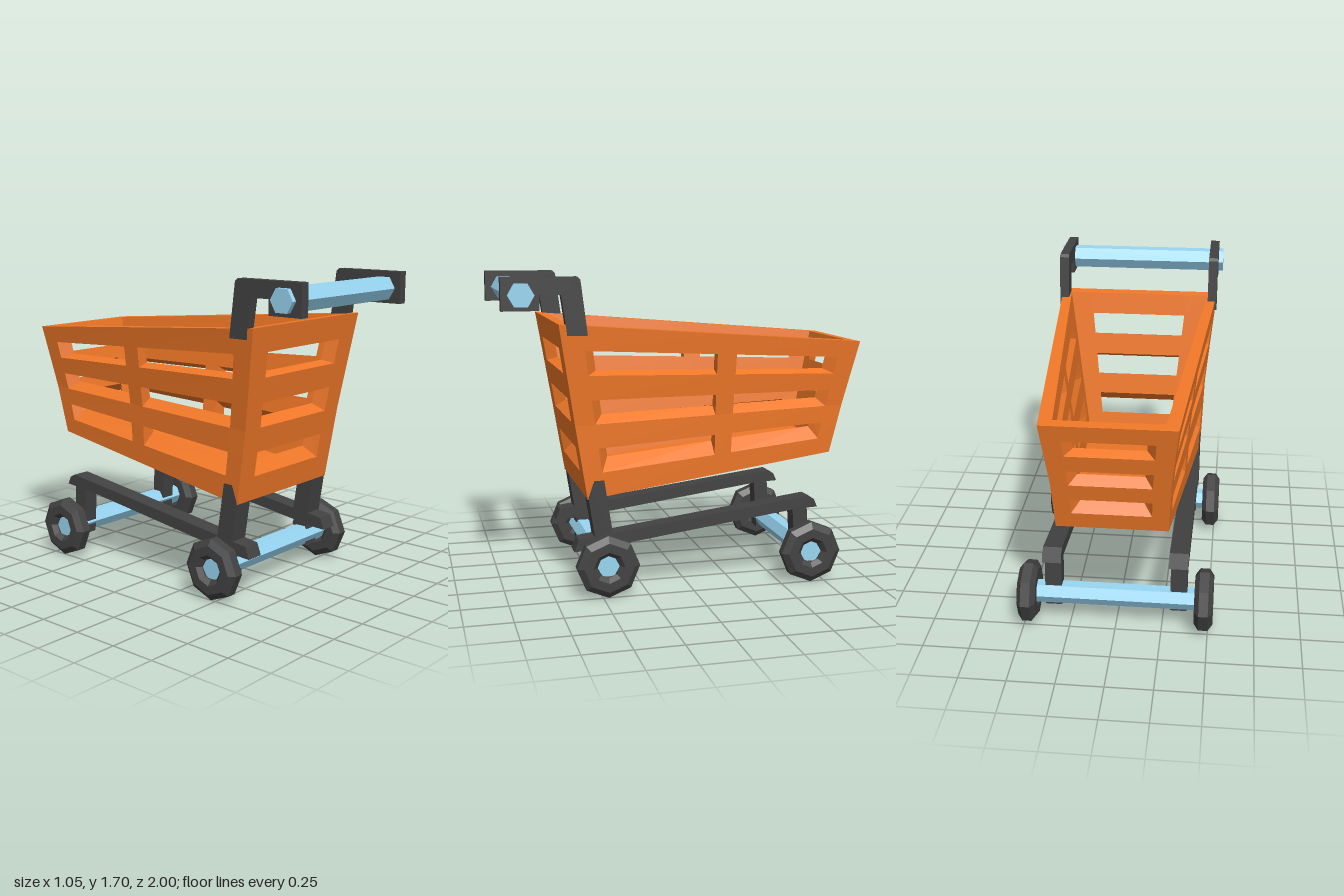
import * as THREE from 'three';

const mat = (color) => new THREE.MeshStandardMaterial({ color, flatShading: true });
const V = (x, y, z) => new THREE.Vector3(x, y, z);

// Corners of the basket, counter-clockwise from above, starting at front -x
const ring = (xf, xb, yf, yb, zf, zb) => [V(-xf, yf, zf), V(xf, yf, zf), V(xb, yb, zb), V(-xb, yb, zb)];
const OUT_BOTTOM = ring(0.397, 0.29, 0.52, 0.69, 0.56, -0.85);
const OUT_TOP = ring(0.468, 0.34, 1.46, 1.32, 0.71, -1.0);
const IN_BOTTOM = ring(0.29, 0.22, 0.6, 0.76, 0.51, -0.81);
const IN_TOP = ring(0.41, 0.275, 1.455, 1.325, 0.65, -0.94);

function buildBasket() {
  const pos = [];
  const quad = (a, b, c, d) => [a, b, c, a, c, d].forEach((p) => pos.push(p.x, p.y, p.z));

  // Point on a wall: u along it, v up it; outer walls pinch in slightly at mid height
  const wallPoint = (bottom, top, i, bow) => (u, v) => {
    const j = (i + 1) % 4;
    const p = bottom[i].clone().lerp(top[i], v).lerp(bottom[j].clone().lerp(top[j], v), u);
    p.x *= 1 - bow * Math.min(v / 0.43, (1 - v) / 0.57);
    return p;
  };

  const vs = [0, 1, 2, 3, 4, 5, 6, 7].map((k) => k / 7);
  const ends = [0, 0.15, 0.85, 1];
  const side = [0, 0.07, 0.507, 0.573, 0.935, 1];
  const columns = [ends, side, ends, side.map((u) => 1 - u).reverse()];

  columns.forEach((us, i) => {
    const O = wallPoint(OUT_BOTTOM, OUT_TOP, i, 0.035);
    const I = wallPoint(IN_BOTTOM, IN_TOP, i, 0);
    for (let c = 0; c < us.length - 1; c++) {
      for (let r = 0; r < 7; r++) {
        const corners = [[us[c], vs[r]], [us[c + 1], vs[r]], [us[c + 1], vs[r + 1]], [us[c], vs[r + 1]]];
        const o = corners.map(([u, v]) => O(u, v));
        const n = corners.map(([u, v]) => I(u, v));
        if (c % 2 === 1 && r % 2 === 1) {
          // slot: four faces through the wall
          for (let k = 0; k < 4; k++) {
            const m = (k + 1) % 4;
            quad(o[k], o[m], n[m], n[k]);
          }
        } else {
          quad(o[0], o[1], o[2], o[3]);
          quad(n[1], n[0], n[3], n[2]);
        }
      }
    }
    // rim
    quad(O(0, 1), O(1, 1), I(1, 1), I(0, 1));
  });

  // floor, inside and underside
  quad(...IN_BOTTOM);
  quad(...[...OUT_BOTTOM].reverse());

  const g = new THREE.BufferGeometry();
  g.setAttribute('position', new THREE.Float32BufferAttribute(pos, 3));
  g.computeVertexNormals();
  return g;
}

// Side profile of [z, y] points, given thickness from x0 to x1
function plate(points, x0, x1) {
  const shape = new THREE.Shape(points.map(([z, y]) => new THREE.Vector2(z, y)));
  const g = new THREE.ExtrudeGeometry(shape, { depth: x1 - x0, bevelEnabled: false });
  return g.rotateY(-Math.PI / 2).translate(x1, 0, 0);
}

// Six-sided bar along x with points facing front and back
function hexBar(radius, length) {
  return new THREE.CylinderGeometry(radius, radius, length, 6).rotateZ(Math.PI / 2);
}

export function createModel() {
  const model = new THREE.Group();
  const orange = mat(0xf07828);
  const dark = mat(0x424242);
  const blue = mat(0x99d6f2);
  const add = (name, geometry, material, x = 0, y = 0, z = 0) => {
    const mesh = new THREE.Mesh(geometry, material);
    mesh.name = name;
    mesh.position.set(x, y, z);
    model.add(mesh);
  };

  add('basket', buildBasket(), orange);
  add('handleBar', hexBar(0.068, 0.99), blue, 0, 1.61, 0.9);

  // Frame parts, one per side
  const arm = [[1, 1.53], [1, 1.7], [0.61, 1.7], [0.595, 1.685], [0.56, 1.4], [0.665, 1.4],
    [0.695, 1.61], [0.805, 1.61], [0.805, 1.53]];
  const frontLeg = [[0.57, 0.62], [0.47, 0.62], [0.42, 0.29], [0.52, 0.29]];
  const rail = [[0.635, 0.235], [0.61, 0.3], [0.58, 0.305], [-0.69, 0.465], [-0.725, 0.445],
    [-0.745, 0.4], [-0.62, 0.395], [0.55, 0.24]];
  const frontBracket = [[0.51, 0.3], [0.42, 0.3], [0.42, 0.112], [0.51, 0.112]];
  const rearBracket = [[-0.6, 0.41], [-0.685, 0.41], [-0.7, 0.112], [-0.62, 0.112]];
  for (const s of [-1, 1]) {
    const frame = (name, points, a, b) =>
      add(name, plate(points, Math.min(s * a, s * b), Math.max(s * a, s * b)), dark);
    frame('handleArm', arm, 0.415, 0.468);
    frame('frontLeg', frontLeg, 0.283, 0.397);
    frame('lowerRail', rail, 0.288, 0.39);
    frame('frontAxleBracket', frontBracket, 0.295, 0.385);
    frame('rearAxleBracket', rearBracket, 0.295, 0.385);
  }

  // Axles and eight-sided wheels with sunken hubs
  const tyre = [[0.06, -0.025], [0.085, -0.05], [0.135, -0.05], [0.17, -0.025], [0.17, 0.025],
    [0.135, 0.05], [0.085, 0.05], [0.06, 0.025], [0.06, -0.025]].map(([r, h]) => new THREE.Vector2(r, h));
  const wheel = new THREE.LatheGeometry(tyre, 8).rotateZ(Math.PI / 2);
  for (const [place, z] of [['front', 0.47], ['rear', -0.67]]) {
    add(place + 'Axle', hexBar(0.061, 0.99), blue, 0, 0.174, z);
    for (const s of [-1, 1]) add(place + 'Wheel', wheel, dark, s * 0.476, 0.174, z);
  }
  return model;
}
